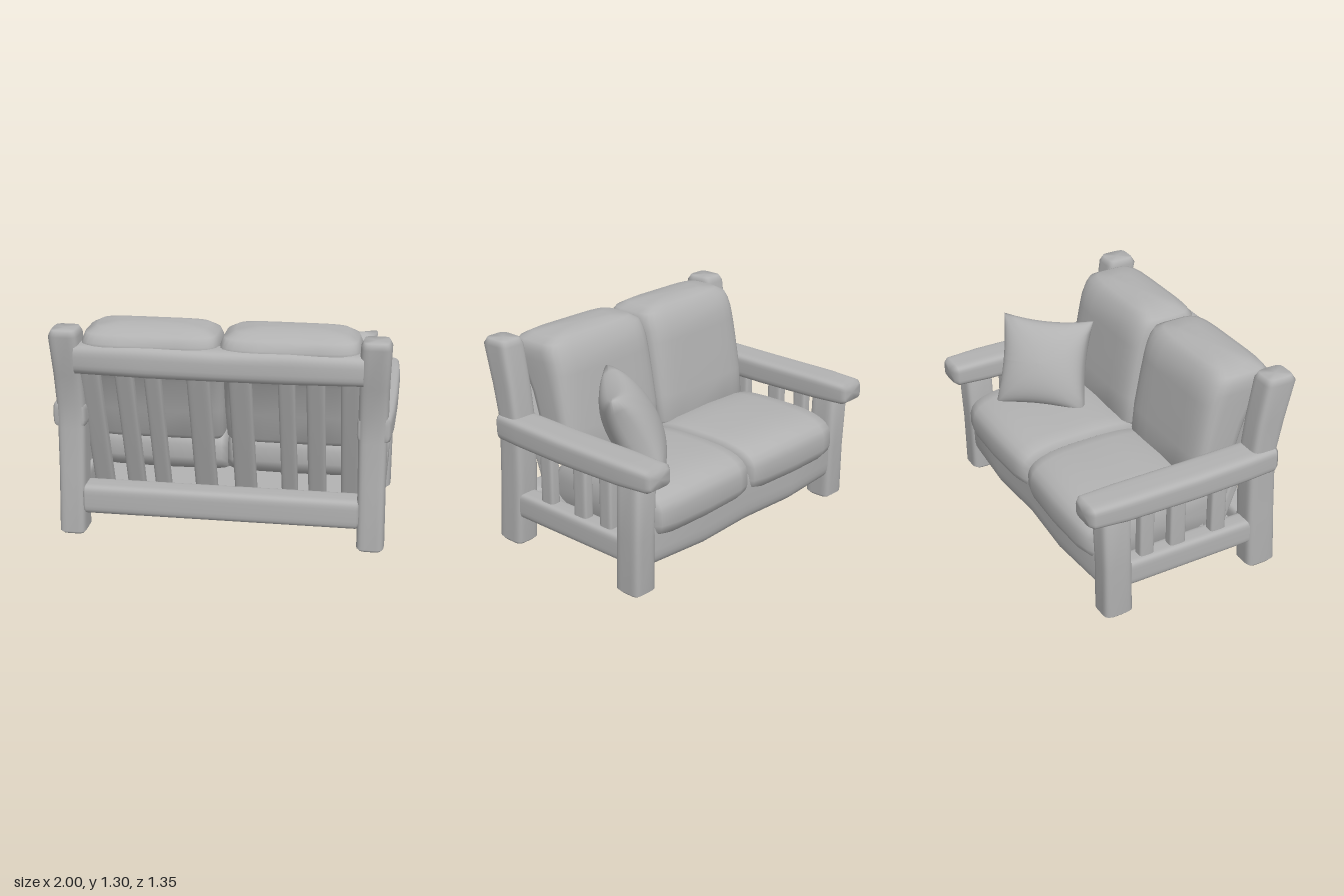
import * as THREE from 'three';

const N = 28; // points around each cross-section

// Rounded-rectangle cross-sections lofted along an axis.
// section: [t, centreU, centreV, halfU, halfV]; (u,v) = x:(y,z)  y:(z,x)  z:(x,y)
function loft(axis, sections, round = 0.42) {
  const pos = [], idx = [];
  const put = (t, u, v) => {
    if (axis === 'x') pos.push(t, u, v);
    else if (axis === 'y') pos.push(v, t, u);
    else pos.push(u, v, t);
  };
  const pw = (c) => Math.sign(c) * Math.pow(Math.abs(c), round);
  for (const [t, u, v, hu, hv] of sections) {
    for (let i = 0; i < N; i++) {
      const a = ((i + 0.5) / N) * Math.PI * 2;
      put(t, u + hu * pw(Math.cos(a)), v + hv * pw(Math.sin(a)));
    }
  }
  const last = sections.length - 1;
  for (let k = 0; k < last; k++) {
    for (let i = 0; i < N; i++) {
      const a = k * N + i, b = k * N + (i + 1) % N;
      idx.push(a, b, b + N, a, b + N, a + N);
    }
  }
  // end caps
  const c0 = pos.length / 3;
  put(...sections[0].slice(0, 3));
  put(...sections[last].slice(0, 3));
  for (let i = 0; i < N; i++) {
    const j = (i + 1) % N;
    idx.push(c0, j, i, c0 + 1, last * N + i, last * N + j);
  }
  const g = new THREE.BufferGeometry();
  g.setAttribute('position', new THREE.Float32BufferAttribute(pos, 3));
  g.setIndex(idx);
  g.computeVertexNormals();
  return g;
}

// Straight or leaning beam with softened ends
function beam(axis, a, b, bevel = 0.02) {
  const mix = (t) => a.map((v, i) => v + (b[i] - v) * t);
  const f = bevel / (b[0] - a[0]);
  const end = (s) => [s[0], s[1], s[2], s[3] * 0.8, s[4] * 0.8];
  return loft(axis, [end(a), mix(f), mix(0.5), mix(1 - f), end(b)]);
}

// Square throw pillow, thick in the middle with pulled-out corners
function pillowGeometry(size, thick) {
  const g = new THREE.SphereGeometry(1, 40, 24);
  g.rotateX(Math.PI / 2);
  const p = g.attributes.position;
  for (let i = 0; i < p.count; i++) {
    const x = p.getX(i), y = p.getY(i), z = p.getZ(i);
    const k = Math.hypot(x, y) / (Math.max(Math.abs(x), Math.abs(y)) || 1); // disc to square
    const X = x * k, Y = y * k;
    const pinchX = 1 - 0.1 * (1 - Y * Y), pinchY = 1 - 0.1 * (1 - X * X);
    const puff = Math.pow(Math.max(0, (1 - X * X) * (1 - Y * Y)), 0.36);
    p.setXYZ(i, X * pinchX * size / 2, Y * pinchY * size / 2, Math.sign(z) * puff * thick / 2);
  }
  g.computeVertexNormals();
  return g;
}

export function createModel() {
  const group = new THREE.Group();
  const clay = new THREE.MeshStandardMaterial({ color: 0xb2b2b2 });
  clay.name = 'clay grey';
  const add = (name, geometry) => {
    const mesh = new THREE.Mesh(geometry, clay);
    mesh.name = name;
    group.add(mesh);
    return mesh;
  };

  for (const s of [-1, 1]) {
    const side = s > 0 ? 'left' : 'right';

    // Back post: bends backwards above the arm
    add(side + 'BackPost', loft('y', [
      [0, 0.495, s * 0.885, 0.075, 0.065],
      [0.02, 0.495, s * 0.885, 0.097, 0.08],
      [0.4, 0.477, s * 0.88, 0.094, 0.08],
      [0.66, 0.468, s * 0.878, 0.09, 0.083],
      [0.82, 0.475, s * 0.878, 0.085, 0.085],
      [1.0, 0.505, s * 0.878, 0.092, 0.086],
      [1.24, 0.55, s * 0.885, 0.1, 0.087],
      [1.275, 0.55, s * 0.885, 0.08, 0.07],
    ]));

    // Front leg
    add(side + 'FrontLeg', loft('y', [
      [0, -0.487, s * 0.885, 0.065, 0.062],
      [0.02, -0.487, s * 0.885, 0.092, 0.08],
      [0.35, -0.492, s * 0.885, 0.089, 0.08],
      [0.7, -0.505, s * 0.885, 0.09, 0.085],
    ]));

    // Armrest
    add(side + 'Armrest', loft('z', [
      [-0.68, s * 0.885, 0.745, 0.08, 0.05],
      [-0.655, s * 0.885, 0.745, 0.1, 0.067],
      [-0.45, s * 0.89, 0.742, 0.108, 0.076],
      [0.0, s * 0.892, 0.738, 0.108, 0.08],
      [0.35, s * 0.89, 0.742, 0.105, 0.081],
      [0.53, s * 0.885, 0.742, 0.098, 0.08],
      [0.55, s * 0.885, 0.742, 0.085, 0.07],
    ]));

    // Lower side rail and upright side slats
    add(side + 'SideRail', beam('z', [-0.46, s * 0.885, 0.262, 0.065, 0.08], [0.46, s * 0.885, 0.262, 0.065, 0.08]));
    for (const [z, half] of [[0.195, 0.05], [-0.08, 0.052], [-0.285, 0.047]]) {
      add(side + 'SideSlat', beam('y', [0.3, z, s * 0.885, half, 0.035], [0.7, z, s * 0.885, half, 0.035]));
    }

    // Back slats, leaning from the floor behind the seat up to the top rail
    for (const [x, half] of [[0.12, 0.066], [0.385, 0.048], [0.55, 0.053], [0.75, 0.058]]) {
      add('backSlat', beam('y', [0.2, 0.255, s * x, 0.035, half], [1.06, 0.565, s * x, 0.035, half]));
    }

    // Seat cushion, rounded front and back, meeting its neighbour in a soft seam
    add(side + 'SeatCushion', loft('x', [
      [-0.003, 0.43, -0.165, 0.14, 0.385],
      [0.035, 0.437, -0.175, 0.16, 0.42],
      [0.12, 0.443, -0.182, 0.172, 0.437],
      [0.4, 0.445, -0.188, 0.18, 0.443],
      [0.68, 0.443, -0.185, 0.172, 0.44],
      [0.78, 0.438, -0.18, 0.16, 0.42],
      [0.82, 0.43, -0.17, 0.13, 0.38],
    ].map((q) => [s * q[0], ...q.slice(1)]).sort((a, b) => a[0] - b[0]), 0.66));

    // Back cushion, leaning, its domed top rolling back over the top rail
    add(side + 'BackCushion', loft('y', [
      [0.55, 0.225, s * 0.4, 0.09, 0.37],
      [0.585, 0.23, s * 0.4, 0.13, 0.393],
      [0.75, 0.262, s * 0.4, 0.145, 0.4],
      [0.95, 0.313, s * 0.4, 0.163, 0.4],
      [1.08, 0.365, s * 0.4, 0.195, 0.4],
      [1.15, 0.405, s * 0.4, 0.222, 0.4],
      [1.205, 0.42, s * 0.4, 0.212, 0.398],
      [1.25, 0.415, s * 0.4, 0.18, 0.38],
      [1.28, 0.405, s * 0.4, 0.135, 0.32],
      [1.297, 0.395, s * 0.4, 0.065, 0.2],
    ], 0.4));
  }

  // Rails that span the width
  add('backTopRail', loft('x', [
    [-0.82, 1.105, 0.56, 0.088, 0.09],
    [-0.4, 1.107, 0.565, 0.096, 0.102],
    [0, 1.103, 0.565, 0.092, 0.105],
    [0.4, 1.107, 0.565, 0.096, 0.102],
    [0.82, 1.105, 0.56, 0.088, 0.09],
  ], 0.6));
  add('backBottomRail', beam('x', [-0.82, 0.222, 0.495, 0.09, 0.085], [0.82, 0.222, 0.495, 0.09, 0.085]));

  // Front apron, flowing up into the seat cushions
  add('frontApron', loft('x', [
    [-0.82, 0.3, -0.48, 0.15, 0.085],
    [-0.4, 0.31, -0.49, 0.17, 0.105],
    [0, 0.31, -0.485, 0.17, 0.085],
    [0.4, 0.31, -0.49, 0.17, 0.105],
    [0.82, 0.3, -0.48, 0.15, 0.085],
  ], 0.5));

  // Closed underside
  const base = add('basePanel', new THREE.BoxGeometry(1.7, 0.04, 0.96));
  base.position.set(0, 0.205, 0);

  // Throw pillow leaning in the corner
  const pillow = add('throwPillow', pillowGeometry(0.58, 0.31));
  const across = new THREE.Vector3(-0.66, 0.03, 0.75).normalize();
  const up = new THREE.Vector3(0.17, 0.45, 0.15).normalize();
  const out = new THREE.Vector3().crossVectors(across, up).normalize();
  const right = new THREE.Vector3().crossVectors(up, out);
  pillow.quaternion.setFromRotationMatrix(new THREE.Matrix4().makeBasis(right, up, out));
  pillow.position.set(0.56, 0.83, -0.165);

  return group;
}
